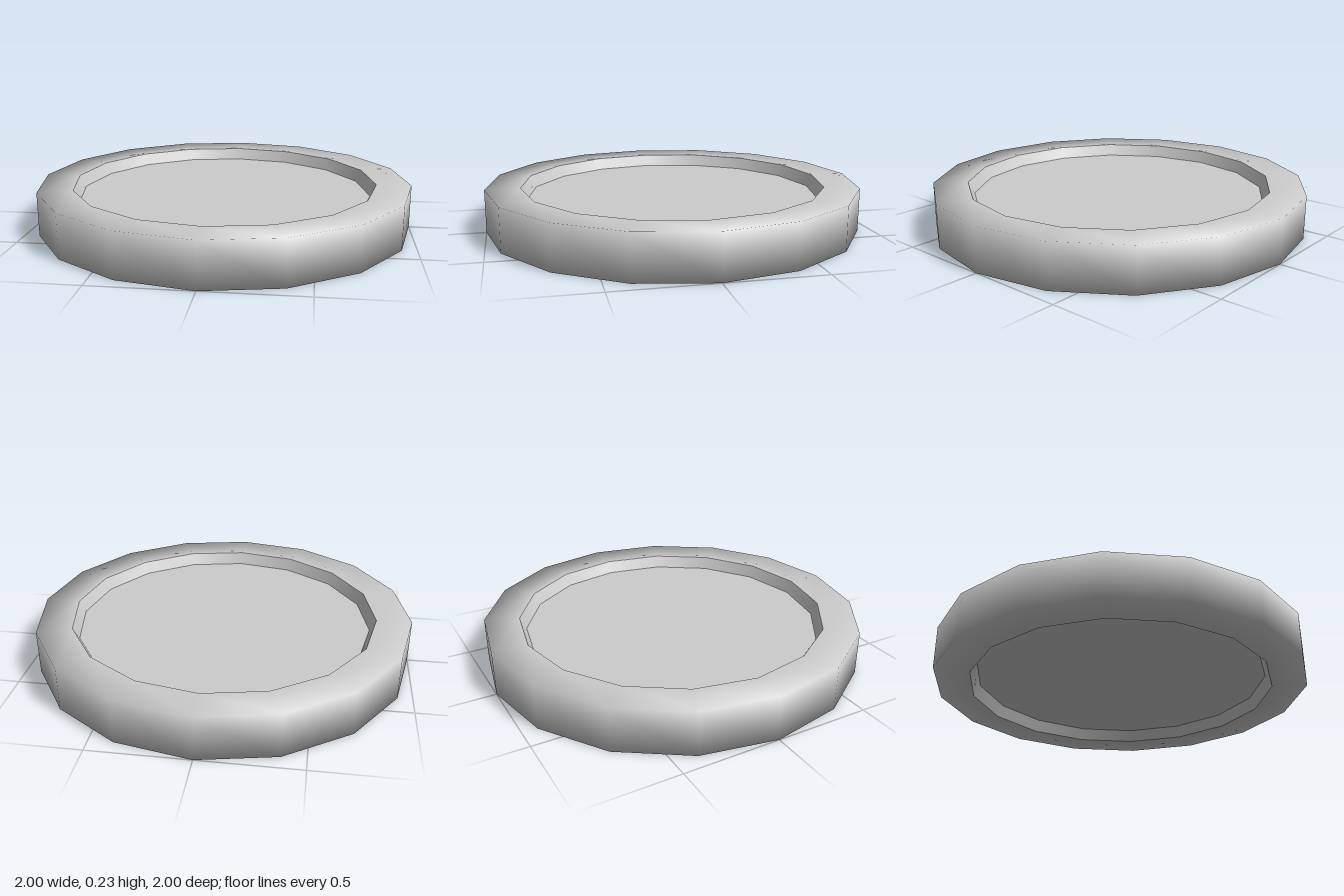
import * as THREE from 'three';

const SIDES = 16, H = 0.23;
const R_OUT = 1, R_RIM = 0.815, R_PLATE = 0.783;
const PLATE_TOP = 0.168, PLATE_BOTTOM = 0.062;

export function createModel() {
  const group = new THREE.Group();
  group.name = 'disc';
  const material = new THREE.MeshStandardMaterial({ color: 0xcccccc });

  // Each profile is smooth in itself; separate profiles meet in sharp edges
  const addLathe = (name, profile) => {
    const points = profile.map(([r, y]) => new THREE.Vector2(r, y));
    const mesh = new THREE.Mesh(new THREE.LatheGeometry(points, SIDES), material);
    mesh.name = name;
    group.add(mesh);
  };

  // Thick outer ring, shaded softly over its corners
  addLathe('rim', [[R_RIM, 0], [R_OUT, 0], [R_OUT, H], [R_RIM, H]]);

  // Sloping inner walls down to the recessed plate, above and below
  addLathe('upperInnerWall', [[R_RIM, H], [R_PLATE, PLATE_TOP]]);
  addLathe('lowerInnerWall', [[R_PLATE, PLATE_BOTTOM], [R_RIM, 0]]);

  // Flat faces of the central plate
  addLathe('plateTop', [[R_PLATE, PLATE_TOP], [0, PLATE_TOP]]);
  addLathe('plateUnderside', [[0, PLATE_BOTTOM], [R_PLATE, PLATE_BOTTOM]]);

  return group;
}
